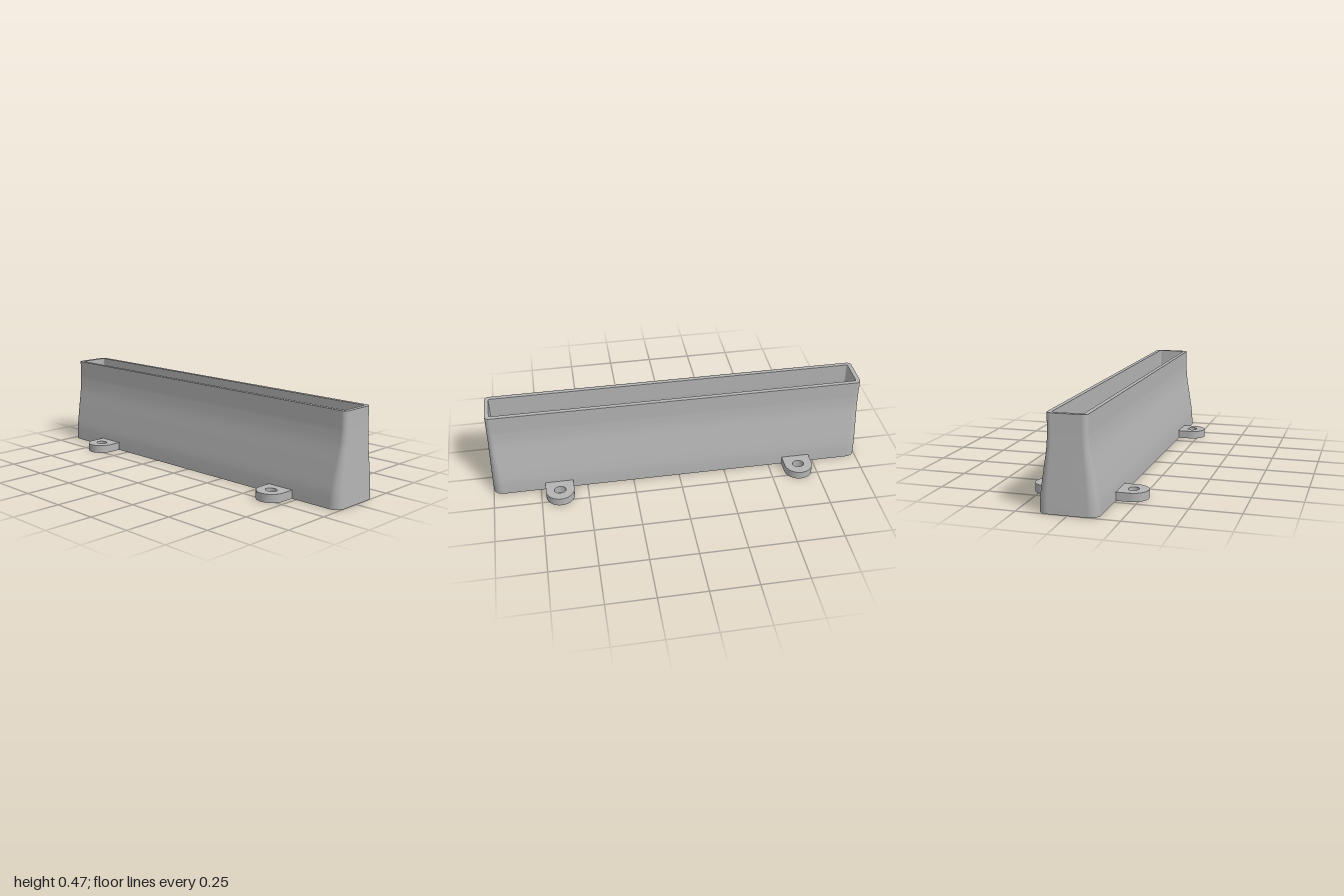
import * as THREE from 'three';
import { mergeGeometries } from 'three/addons/utils/BufferGeometryUtils.js';

const WALL = 0.022, TOP = 0.467, CORNER_STEPS = 8;

// Rounded rectangle in the xz plane at height y
function ring(hx, hz, r, y) {
  const points = [];
  [[1, 1], [-1, 1], [-1, -1], [1, -1]].forEach(([sx, sz], k) => {
    for (let i = 0; i <= CORNER_STEPS; i++) {
      const a = (k + i / CORNER_STEPS) * Math.PI / 2;
      points.push([sx * (hx - r) + r * Math.cos(a), y, sz * (hz - r) + r * Math.sin(a)]);
    }
  });
  return points;
}

// Skin joining successive closed rings
function skin(rings) {
  const n = rings[0].length, index = [];
  for (let i = 0; i < rings.length - 1; i++) {
    for (let j = 0; j < n; j++) {
      const a = i * n + j, b = i * n + (j + 1) % n;
      index.push(a, a + n, b, b, a + n, b + n);
    }
  }
  const geometry = new THREE.BufferGeometry();
  geometry.setAttribute('position', new THREE.Float32BufferAttribute(rings.flat(2), 3));
  geometry.setIndex(index);
  geometry.computeVertexNormals();
  return geometry;
}

// Open duct: wide base easing into a straight narrow neck
function ductGeometry() {
  const flare = new THREE.SplineCurve([
    [0.145, 0], [0.143, 0.05], [0.138, 0.1], [0.121, 0.2], [0.1035, 0.3], [0.0975, 0.37],
  ].map(([x, y]) => new THREE.Vector2(x, y)));
  const profile = [...flare.getPoints(30), new THREE.Vector2(0.0975, 0.385), new THREE.Vector2(0.0975, TOP)];
  const outer = [], inner = [];
  for (const { x, y } of profile) {
    const t = (x - 0.0975) / 0.0475;
    const hz = 0.995 + 0.005 * t, r = 0.025 + 0.025 * t;
    outer.push(ring(x, hz, r, y));
    inner.unshift(ring(x - WALL, hz - WALL, Math.max(r - WALL, 0.008), y));
  }
  return mergeGeometries([
    skin(outer),
    skin([outer.at(-1), inner[0]]),
    skin(inner),
    skin([inner.at(-1), outer[0]]),
  ]);
}

// Mounting lug with a rounded end and a screw hole, pointing to +x
function lugGeometry() {
  const r = 0.075, cx = 0.211, root = 0.13;
  const shape = new THREE.Shape();
  shape.moveTo(root, -r);
  shape.lineTo(cx, -r);
  shape.absarc(cx, 0, r, -Math.PI / 2, Math.PI / 2, false);
  shape.lineTo(root, r);
  shape.closePath();
  const hole = new THREE.Path();
  hole.absellipse(cx, 0, 0.026, 0.031, 0, Math.PI * 2, true);
  shape.holes.push(hole);
  const geometry = new THREE.ExtrudeGeometry(shape, { depth: 0.043, bevelEnabled: false, curveSegments: 24 });
  return geometry.rotateX(-Math.PI / 2);
}

export function createModel() {
  const model = new THREE.Group();
  model.name = 'ductAdapter';
  const grey = new THREE.MeshStandardMaterial({ color: 0xb4b4b4 });
  grey.name = 'grey plastic';

  const duct = new THREE.Mesh(ductGeometry(), grey);
  duct.name = 'duct';
  model.add(duct);

  const lug = lugGeometry();
  for (const side of [1, -1]) {
    for (const z of [0.65, -0.65]) {
      const mesh = new THREE.Mesh(lug, grey);
      mesh.name = `${z > 0 ? 'front' : 'back'}${side > 0 ? 'Left' : 'Right'}Lug`;
      mesh.rotation.y = side > 0 ? 0 : Math.PI;
      mesh.position.z = z;
      model.add(mesh);
    }
  }
  return model;
}
